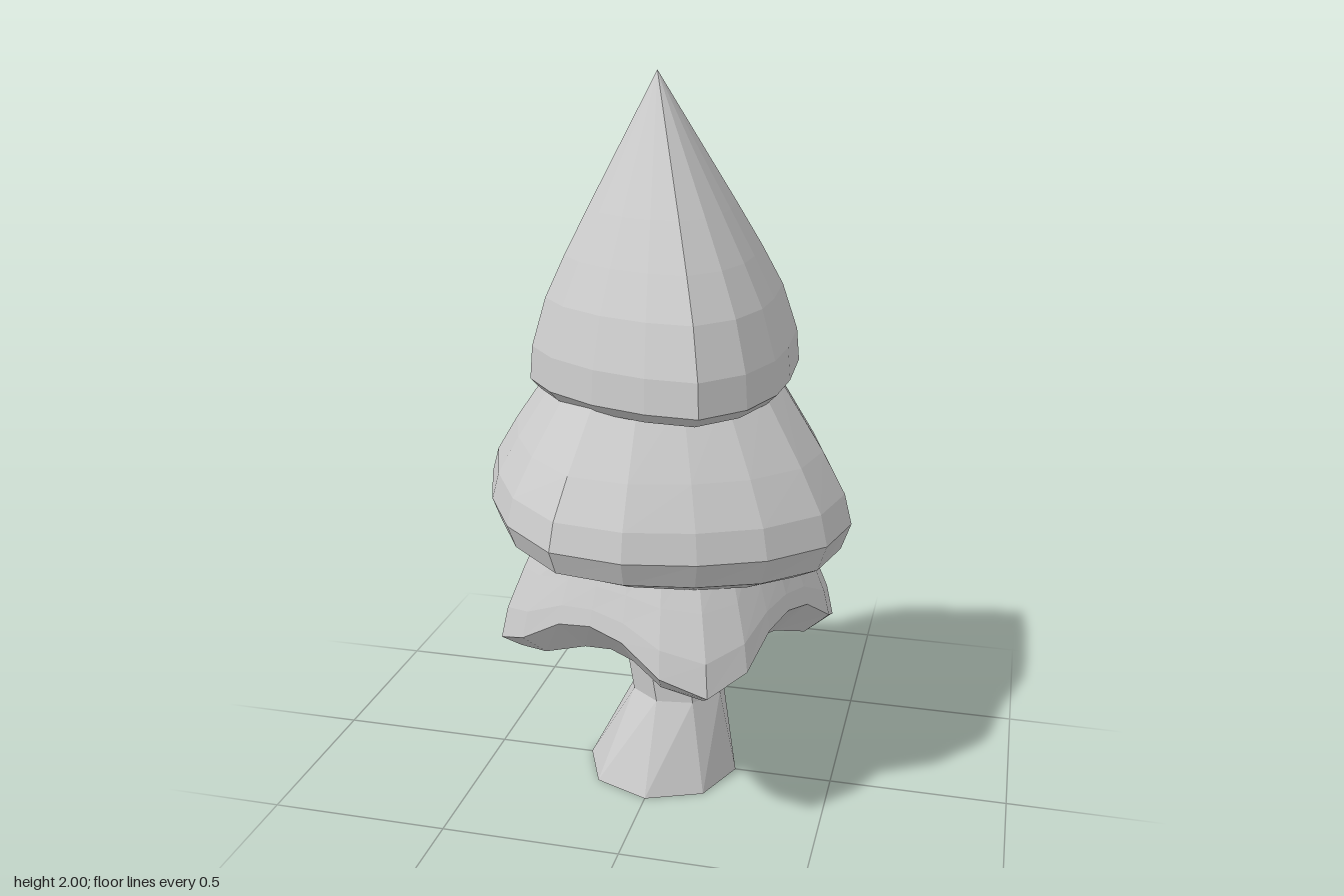
import * as THREE from 'three';

const material = new THREE.MeshStandardMaterial({ color: 0xcccccc, flatShading: true, side: THREE.DoubleSide });

// Skins a stack of rings, listed from bottom to top, each an array of [x, y, z]
function loft(name, rings) {
  const n = rings[0].length;
  const index = [];
  for (let r = 0; r < rings.length - 1; r++) {
    for (let i = 0; i < n; i++) {
      const j = (i + 1) % n;
      const a = r * n + i, b = r * n + j, c = a + n, d = b + n;
      index.push(a, c, b, b, c, d);
    }
  }
  const geometry = new THREE.BufferGeometry();
  geometry.setAttribute('position', new THREE.Float32BufferAttribute(rings.flat(2), 3));
  geometry.setIndex(index);
  geometry.computeVertexNormals();
  const mesh = new THREE.Mesh(geometry, material);
  mesh.name = name;
  return mesh;
}

// Ring of n points from a rule of the angle
const ring = (n, rule) => Array.from({ length: n }, (_, i) => rule((i / n) * Math.PI * 2));

// Outlines of the upper two tiers as [x, z]
const topOutline = [
  [0.35, 0], [0.34, 0.15], [0.29, 0.3], [0.19, 0.41], [0.05, 0.4], [-0.1, 0.35],
  [-0.24, 0.26], [-0.33, 0.15], [-0.355, 0], [-0.33, -0.17], [-0.26, -0.28],
  [-0.16, -0.37], [0, -0.385], [0.13, -0.38], [0.25, -0.31], [0.34, -0.22],
];
const middleOutline = [
  [0.53, 0], [0.49, 0.2], [0.36, 0.36], [0.2, 0.46], [0.02, 0.52], [-0.17, 0.51],
  [-0.33, 0.37], [-0.44, 0.18], [-0.52, -0.04], [-0.53, -0.25], [-0.48, -0.33], [-0.41, -0.4],
  [-0.22, -0.48], [0, -0.52], [0.11, -0.52], [0.2, -0.5], [0.36, -0.37], [0.47, -0.2],
];

// Bulging cone tier that leans towards its apex
function topTier() {
  const profile = [
    [0, 1.19], [0.92, 1.17], [1, 1.2], [0.98, 1.29], [0.87, 1.42], [0.72, 1.53], [0.54, 1.65], [0, 2],
  ];
  return loft('topFoliage', profile.map(([s, y]) =>
    topOutline.map(([x, z]) => [x * s - 0.02 * (1 - s), y, z * s - 0.02 * (1 - s)])));
}

// Widest tier, its rim tilted down on one side
function middleTier() {
  const profile = [[0, 0.74], [0.82, 0.725], [0.95, 0.76], [1, 0.83], [0.96, 0.91], [0.84, 1.02], [0.6, 1.21]];
  return loft('middleFoliage', profile.map(([s, y]) => {
    const tilt = Math.max(0, (1.2 - y) / 0.45);
    return middleOutline.map(([x, z]) => [x * s, y + tilt * (0.04 * z - 0.06 * x), z * s]);
  }));
}

// Lowest tier, with four drooping points and wide arches between them
function bottomTier() {
  // radius and height at an arch, then at a point
  const profile = [
    [0, 0.47, 0, 0.47],
    [0.29, 0.49, 0.43, 0.42],
    [0.385, 0.595, 0.485, 0.45],
    [0.375, 0.64, 0.465, 0.54],
    [0.355, 0.7, 0.415, 0.66],
    [0.32, 0.8, 0.35, 0.8],
  ];
  const firstPoint = 1.14;
  return loft('bottomFoliage', profile.map(([r0, y0, r1, y1]) => ring(24, (a) => {
    const t = Math.pow(0.5 + 0.5 * Math.cos(4 * a), 1.4);
    const r = r0 + (r1 - r0) * t;
    const x = r * Math.cos(a + firstPoint), z = r * Math.sin(a + firstPoint);
    return [x + 0.025, y0 + (y1 - y0) * t + 0.03 * z * t, z + 0.01];
  })));
}

// Bent and slightly twisted eight-sided trunk, flared at the foot
function trunk() {
  // radius, height, centre x, centre z, twist
  const sections = [
    [0, 0, 0, 0, 0], [0.22, 0, 0, 0, 0], [0.135, 0.26, 0.045, -0.01, 0.26], [0.14, 0.52, 0.005, -0.015, 0.26],
  ];
  return loft('trunk', sections.map(([r, y, cx, cz, twist]) =>
    ring(8, (a) => [cx + r * Math.cos(a + twist), y, cz + r * Math.sin(a + twist)])));
}

export function createModel() {
  const tree = new THREE.Group();
  tree.name = 'tree';
  tree.add(trunk(), bottomTier(), middleTier(), topTier());
  return tree;
}
